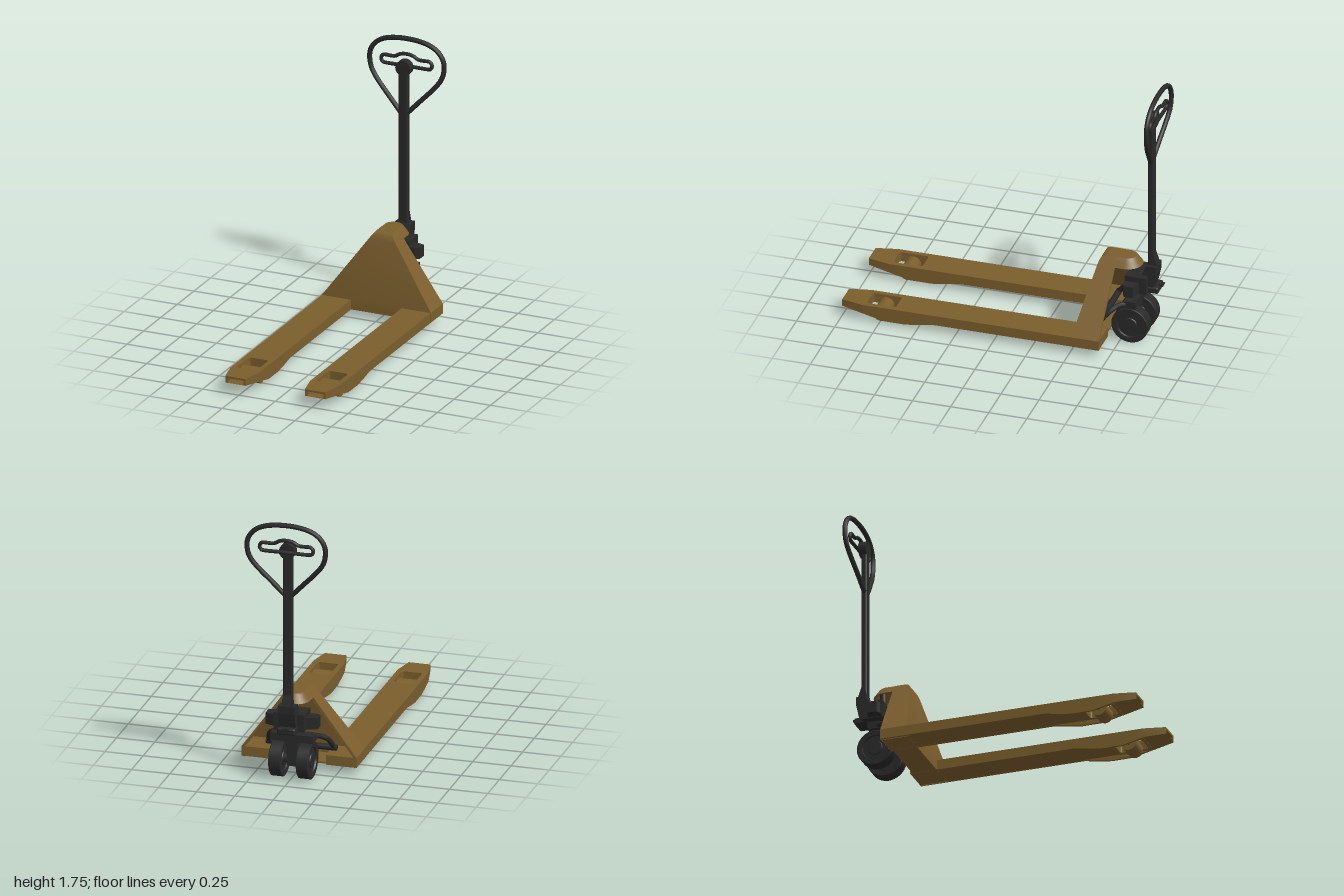
import * as THREE from 'three';
import { toCreasedNormals } from 'three/addons/utils/BufferGeometryUtils.js';
import { RoundedBoxGeometry } from 'three/addons/geometries/RoundedBoxGeometry.js';

const ochre = new THREE.MeshStandardMaterial({ color: 0x7b5e2d, side: THREE.DoubleSide });
ochre.name = 'ochre paint';
const black = new THREE.MeshStandardMaterial({ color: 0x292929 });
black.name = 'black';

function add(parent, name, geo, mat, x = 0, y = 0, z = 0) {
  const m = new THREE.Mesh(geo, mat);
  m.name = name;
  m.position.set(x, y, z);
  parent.add(m);
  return m;
}

// surface through rows of [x, y, z] points
function loft(rows, closed = false) {
  const n = rows[0].length, idx = [];
  for (let r = 0; r < rows.length - 1; r++)
    for (let i = 0; i < (closed ? n : n - 1); i++) {
      const a = r * n + i, b = r * n + (i + 1) % n;
      idx.push(a, b, a + n, b, b + n, a + n);
    }
  const g = new THREE.BufferGeometry();
  g.setAttribute('position', new THREE.Float32BufferAttribute(rows.flat(2), 3));
  g.setIndex(idx);
  return toCreasedNormals(g, 0.6);
}

// side profile of [z, y] points extruded across x
function sideExtrude(pts, width) {
  const g = new THREE.ExtrudeGeometry(poly(pts), { depth: width, bevelEnabled: false });
  return g.translate(0, 0, -width / 2).rotateY(-Math.PI / 2);
}

// plan of [x, z] points extruded downwards
function planExtrude(shape, depth) {
  return new THREE.ExtrudeGeometry(shape, { depth, bevelEnabled: false, curveSegments: 5 }).rotateX(Math.PI / 2);
}
const poly = pts => new THREE.Shape(pts.map(p => new THREE.Vector2(...p)));
const xCylinder = (r, len, seg = 24) => new THREE.CylinderGeometry(r, r, len, seg).rotateZ(Math.PI / 2);

function tube(pts, r, closed, seg = 64) {
  const curve = new THREE.CatmullRomCurve3(pts.map(p => new THREE.Vector3(...p)), closed, 'catmullrom', 0.5);
  return new THREE.TubeGeometry(curve, seg, r, 10, closed);
}

function makeFork() {
  const fork = new THREE.Group();
  fork.name = 'fork';
  // roller window through the top and bottom plates
  const w = 0.067, z0 = 0.65, z1 = 0.84, r = 0.018;
  const hole = new THREE.Path();
  hole.moveTo(-w + r, z0);
  hole.lineTo(w - r, z0).quadraticCurveTo(w, z0, w, z0 + r);
  hole.lineTo(w, z1 - r).quadraticCurveTo(w, z1, w - r, z1);
  hole.lineTo(-w + r, z1).quadraticCurveTo(-w, z1, -w, z1 - r);
  hole.lineTo(-w, z0 + r).quadraticCurveTo(-w, z0, -w + r, z0);
  const top = poly([[-0.1, -0.69], [0.1, -0.69], [0.1, 0.86], [0.07, 1], [-0.07, 1], [-0.1, 0.86]]);
  const bottom = poly([[-0.096, -0.69], [0.096, -0.69], [0.096, 0.86], [-0.096, 0.86]]);
  top.holes.push(hole);
  bottom.holes.push(hole);
  add(fork, 'forkTop', planExtrude(top, 0.014), ochre, 0, 0.115, 0);
  add(fork, 'forkBottom', planExtrude(bottom, 0.004), ochre, 0, 0.055, 0);
  const rim = hole.getPoints(5);
  add(fork, 'windowWall', loft([0.114, 0.052].map(y => rim.map(p => [p.x, y, p.y])), true), ochre);
  // side skirts: stations of [z, bottom y]
  const stations = [[-0.69, 0.05], [0.4, 0.05], [0.5, 0.032], [0.58, 0.021], [0.72, 0.022], [0.86, 0.055], [1, 0.07]];
  const half = z => 0.1 - Math.max(0, z - 0.86) / 0.14 * 0.03;
  for (const s of [-1, 1]) {
    const rows = stations.map(([z, y]) => {
      const o = s * half(z), i = s * (half(z) - 0.014);
      return [[o, 0.114, z], [i, 0.114, z], [i, y, z], [o, y, z]];
    });
    add(fork, 'forkSkirt', loft(rows, true), ochre);
    const end = rows[rows.length - 1];
    add(fork, 'skirtEnd', loft([[end[0], end[1]], [end[3], end[2]]]), ochre);
  }
  add(fork, 'rearCap', loft([[[-0.1, 0.114, -0.69], [0.1, 0.114, -0.69]], [[-0.1, 0.05, -0.69], [0.1, 0.05, -0.69]]]), ochre);
  // sloping plate under the tip
  add(fork, 'tipPlate', loft([[[-0.1, 0.053, 0.855], [0.1, 0.053, 0.855]], [[-0.07, 0.07, 1], [0.07, 0.07, 1]]]), ochre);
  add(fork, 'pushLink', new THREE.BoxGeometry(0.16, 0.042, 0.02), black, 0, 0.08, 0.88);
  add(fork, 'loadRoller', xCylinder(0.05, 0.13, 28), ochre, 0, 0.05, 0.75);
  add(fork, 'rollerPin', xCylinder(0.012, 0.18, 12), black, 0, 0.05, 0.75);
  return fork;
}

function makeTower() {
  const tower = new THREE.Group();
  tower.name = 'tower';
  // sections of [y, half width, front z, back z]
  const sec = [[0.05, 0.375, -0.51, -0.69], [0.115, 0.375, -0.51, -0.69], [0.5, 0.098, -0.593, -0.708],
    [0.53, 0.077, -0.602, -0.71], [0.547, 0.064, -0.614, -0.71], [0.555, 0.058, -0.64, -0.71]];
  add(tower, 'frontPanel', loft(sec.map(([y, w, f]) => [[-w, y, f], [w, y, f]])), ochre);
  add(tower, 'towerTop', loft([[[-0.058, 0.555, -0.64], [0.058, 0.555, -0.64]], [[-0.058, 0.555, -0.71], [0.058, 0.555, -0.71]]]), ochre);
  for (const s of [-1, 1])
    add(tower, 'sidePanel', loft(sec.map(([y, w, f, b]) => {
      const x = s * w, i = s * (w - 0.018);
      return [[x, y, f], [x, y, b], [i, y - 0.004, b], [i, y - 0.004, f]];
    })), ochre);
  // rounded hood, open below
  const outline = (y, w, k = 1) => {
    const row = [[w * k, y, -0.7]];
    for (let i = 0; i <= 16; i++) {
      const a = i / 16 * Math.PI;
      row.push([w * k * Math.cos(a), y, -0.765 - w * Math.sin(a)]);
    }
    row.push([-w * k, y, -0.7]);
    return row;
  };
  add(tower, 'hood', loft([outline(0.51, 0.08), outline(0.5, 0.085), outline(0.5, 0.098), outline(0.53, 0.077),
    outline(0.548, 0.064), outline(0.555, 0.056), outline(0.555, 0.056, 0)]), ochre);
  add(tower, 'bottomPlate', new THREE.BoxGeometry(0.4, 0.012, 0.16), ochre, 0, 0.057, -0.595);
  return tower;
}

function makeSteering() {
  const g = new THREE.Group();
  g.name = 'steeringUnit';
  // twin wheels
  const half = [[0, 0.034], [0.044, 0.034], [0.048, 0.028], [0.08, 0.028], [0.084, 0.038], [0.114, 0.04], [0.12, 0.036]];
  const profile = [...half.map(([r, x]) => [r, -x]), ...half.slice().reverse()];
  const wheel = toCreasedNormals(new THREE.LatheGeometry(profile.map(p => new THREE.Vector2(...p)), 36).rotateZ(Math.PI / 2), 0.6);
  for (const s of [-1, 1]) {
    add(g, 'steerWheel', wheel, black, s * 0.09, 0.12, -0.815);
    // curved lifting arms
    add(g, 'liftArm', tube([[s * 0.13, 0.27, -0.79], [s * 0.15, 0.262, -0.745], [s * 0.19, 0.225, -0.695], [s * 0.21, 0.16, -0.64]], 0.017, false, 16), black);
  }
  add(g, 'axle', xCylinder(0.03, 0.14), black, 0, 0.12, -0.815);
  add(g, 'torsionShaft', xCylinder(0.02, 0.46, 16), black, 0, 0.15, -0.635);
  add(g, 'wheelPost', new THREE.BoxGeometry(0.07, 0.2, 0.07), black, 0, 0.18, -0.815);
  add(g, 'armBeam', new THREE.BoxGeometry(0.28, 0.05, 0.08), black, 0, 0.27, -0.82);
  add(g, 'pumpNeck', new THREE.CylinderGeometry(0.036, 0.036, 0.1, 24), black, 0, 0.32, -0.815);
  // pump body with chamfered ears
  const ears = poly([[-0.17, -0.85], [-0.17, -0.79], [-0.14, -0.775], [0.14, -0.775], [0.17, -0.79], [0.17, -0.85], [0.1, -0.87], [-0.1, -0.87]]);
  add(g, 'pumpEars', planExtrude(ears, 0.075), black, 0, 0.42);
  add(g, 'pumpBody', new THREE.BoxGeometry(0.2, 0.115, 0.14), black, 0, 0.397, -0.845);
  add(g, 'pumpFoot', new RoundedBoxGeometry(0.12, 0.045, 0.1, 2, 0.012), black, 0, 0.355, -0.93);
  add(g, 'pedal', new THREE.BoxGeometry(0.04, 0.012, 0.03), black, 0, 0.378, -0.985);
  add(g, 'piston', new THREE.CylinderGeometry(0.021, 0.021, 0.12, 20), black, 0, 0.49, -0.805);
  // yoke holding the tiller, wide at the pump and narrow at the column
  const lower = [[-0.865, 0.44], [-0.9, 0.52], [-0.967, 0.52], [-0.967, 0.47], [-0.945, 0.37], [-0.88, 0.37]];
  const upper = [[-0.9, 0.515], [-0.91, 0.56], [-0.92, 0.625], [-0.935, 0.61], [-0.967, 0.515]];
  add(g, 'yokeBase', sideExtrude(lower, 0.11), black);
  add(g, 'yokeNeck', sideExtrude(upper, 0.062), black);
  return g;
}

function makeTiller() {
  const g = new THREE.Group();
  g.name = 'tiller';
  add(g, 'column', new RoundedBoxGeometry(0.063, 1.15, 0.038, 2, 0.01), black, 0, 1.015, -0.923);
  add(g, 'tillerHead', new THREE.CylinderGeometry(0.052, 0.052, 0.05, 28).rotateX(Math.PI / 2), black, 0, 1.553, -0.93);
  // outer grip loop, from the column round and back
  const side = [[0.022, 1.252, -0.922], [0.1, 1.335, -0.935], [0.19, 1.43, -0.952], [0.24, 1.5, -0.963], [0.256, 1.57, -0.967],
    [0.246, 1.632, -0.967], [0.2, 1.688, -0.967], [0.12, 1.722, -0.967]];
  const mirror = pts => pts.slice().reverse().map(([x, y, z]) => [-x, y, z]);
  add(g, 'gripLoop', tube([...side, [0, 1.734, -0.967], ...mirror(side)], 0.016, false, 72), black);
  // small control lever loop
  const lever = [[0.05, 1.552, -0.963], [0.15, 1.552, -0.963], [0.17, 1.563, -0.963], [0.175, 1.58, -0.963],
    [0.167, 1.597, -0.963], [0.15, 1.605, -0.963], [0.085, 1.605, -0.963], [0.045, 1.625, -0.963]];
  add(g, 'controlLever', tube([...lever, [0, 1.632, -0.963], ...mirror(lever)], 0.012, true, 96), black);
  return g;
}

export function createModel() {
  const model = new THREE.Group();
  model.name = 'palletJack';
  for (const s of [-1, 1]) {
    const fork = makeFork();
    fork.position.x = s * 0.274;
    model.add(fork);
  }
  model.add(makeTower(), makeSteering(), makeTiller());
  return model;
}
